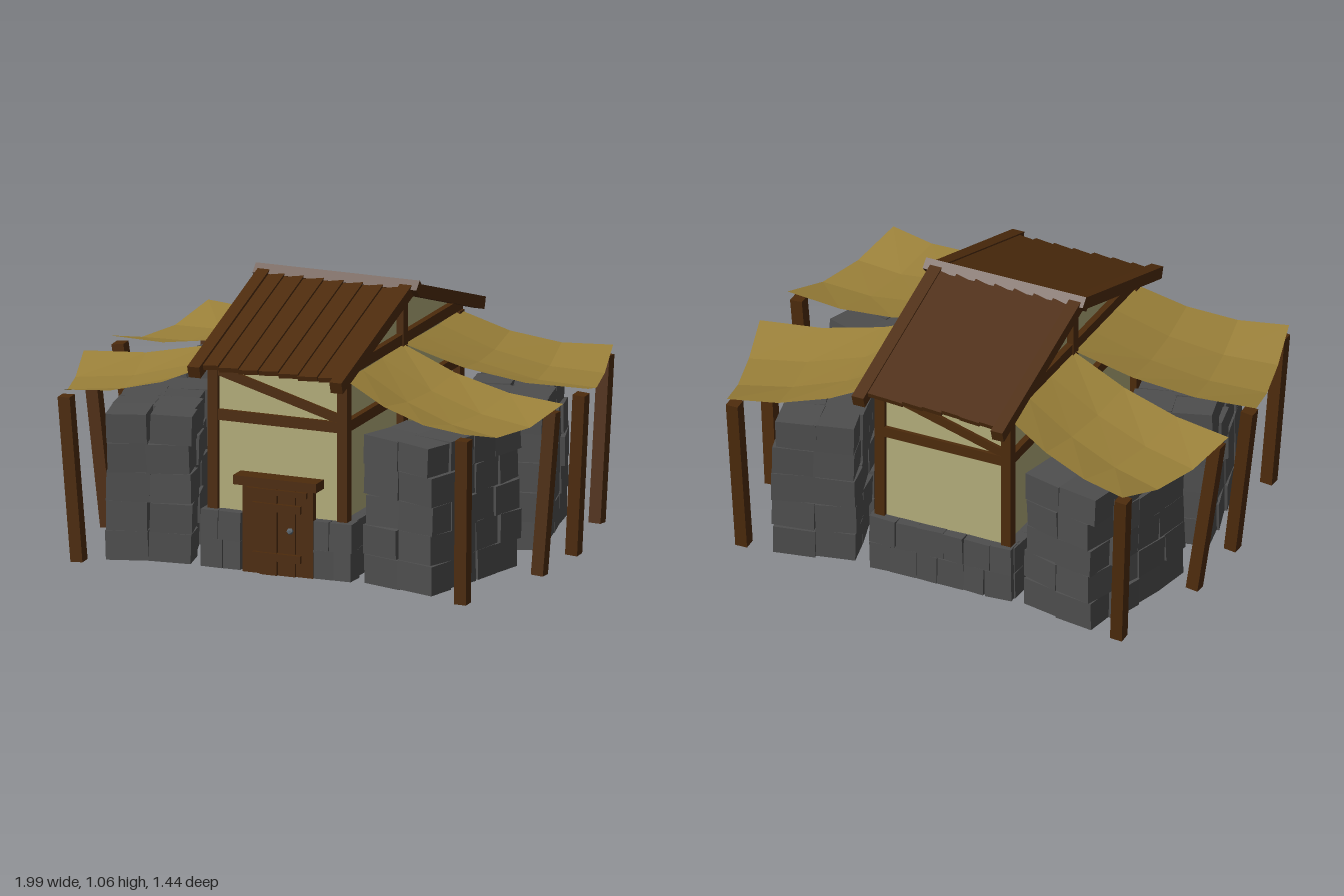
import * as THREE from 'three';
import { mergeGeometries } from 'three/addons/utils/BufferGeometryUtils.js';

const mat = (name, color, extra = {}) => {
  const m = new THREE.MeshStandardMaterial({ color, flatShading: true, ...extra });
  m.name = name;
  return m;
};

export function createModel() {
  const wood = mat('dark wood', 0x4d2b0c);
  const stone = mat('grey stone', 0x4e4e4e);
  const plaster = mat('plaster', 0xb2ac7a);
  const canvas = mat('canvas', 0x9a8039, { side: THREE.DoubleSide });
  const iron = mat('iron', 0x5c666e);

  const root = new THREE.Group();
  root.name = 'marketHouse';
  const midZ = -0.01;

  let seed = 11;
  const rand = () => {
    seed = (seed * 16807) % 2147483647;
    return seed / 2147483647;
  };
  const jit = (a) => (rand() * 2 - 1) * a;

  const add = (name, geo, material, parent = root) => {
    const m = new THREE.Mesh(geo, material);
    m.name = name;
    parent.add(m);
    return m;
  };
  const box = (name, w, h, d, x, y, z, material = wood, parent = root) => {
    const m = add(name, new THREE.BoxGeometry(w, h, d), material, parent);
    m.position.set(x, y, z);
    return m;
  };
  // Square beam running between two points
  const beam = (name, a, b, w, d) => {
    const p = new THREE.Vector3(...a), q = new THREE.Vector3(...b);
    const dir = q.clone().sub(p);
    const m = add(name, new THREE.BoxGeometry(w, dir.length(), d), wood);
    m.position.copy(p).add(q).multiplyScalar(0.5);
    m.quaternion.setFromUnitVectors(new THREE.Vector3(0, 1, 0), dir.normalize());
    return m;
  };
  // Rough stone block: a box knocked slightly askew
  const block = (w, h, d, x, y, z, turn) => {
    const g = new THREE.BoxGeometry(w, h, d);
    g.rotateX(jit(turn * 0.4));
    g.rotateZ(jit(turn * 0.4));
    g.rotateY(jit(turn));
    g.translate(x, y, z);
    return g;
  };

  // Plaster walls with gables at both sides
  const gable = new THREE.Shape();
  gable.moveTo(-0.55, 0.03);
  gable.lineTo(0.55, 0.03);
  gable.lineTo(0.55, 0.83);
  gable.lineTo(0, 1.025);
  gable.lineTo(-0.55, 0.83);
  const walls = add('walls', new THREE.ExtrudeGeometry(gable, { depth: 0.52, bevelEnabled: false }), plaster);
  walls.rotation.y = -Math.PI / 2;
  walls.position.set(0.26, 0, midZ);

  // Timber frame
  for (const sx of [-1, 1]) {
    for (const sz of [-1, 1]) {
      box('cornerPost', 0.042, 0.79, 0.042, sx * 0.268, 0.415, midZ + sz * 0.545);
    }
    box('gablePost', 0.042, 1.02, 0.042, sx * 0.268, 0.53, midZ);
    box('upperSideBeam', 0.04, 0.042, 1.12, sx * 0.265, 0.833, midZ);
    box('lowerSideBeam', 0.04, 0.042, 1.12, sx * 0.265, 0.616, midZ);
  }
  for (const s of [-1, 1]) {
    box('wallBeam', 0.53, 0.042, 0.04, 0, 0.616, midZ + s * 0.545);
    box('eaveBeam', 0.53, 0.042, 0.04, 0, 0.825, midZ + s * 0.535);
    beam('diagonalBrace', [-s * 0.25, 0.79, midZ + s * 0.548], [s * 0.25, 0.65, midZ + s * 0.548], 0.036, 0.03);
  }

  // Stone footing: two courses around a floor slab
  const footing = [];
  const course = (len, count, place) => {
    for (let row = 0; row < 2; row++) {
      let at = -len / 2;
      for (let i = 0; i < count; i++) {
        const w = len / count * (i % 2 === row ? 1.12 : 0.88);
        footing.push(place(at + w / 2, w * 0.98, 0.076 + row * 0.112));
        at += w;
      }
    }
  };
  for (const sx of [-1, 1]) {
    course(1.12, 8, (t, w, y) => block(0.09, 0.111, w, sx * 0.262, y, midZ + t, 0.07));
  }
  course(0.6, 6, (t, w, y) => block(w, 0.113, 0.08, t, y, midZ - 0.55, 0.07));
  for (const cx of [-0.225, 0.235]) {
    course(0.165, 2, (t, w, y) => block(w, 0.113, 0.08, cx + t, y, midZ + 0.553, 0.07));
  }
  add('footingStones', mergeGeometries(footing), stone);
  box('floorSlab', 0.56, 0.05, 1.12, 0, 0.045, midZ, stone);

  // Door with planks, frame, crossbars and knob
  const door = new THREE.Group();
  door.name = 'door';
  door.position.set(0.015, 0, 0.575);
  root.add(door);
  for (let i = 0; i < 4; i++) {
    box('doorPlank', 0.071, 0.345 + jit(0.005), 0.03, -0.111 + i * 0.074, 0.19, jit(0.004), wood, door);
  }
  box('doorLintel', 0.345, 0.036, 0.075, 0, 0.384, 0.005, wood, door);
  for (const y of [0.09, 0.285]) box('doorCrossbar', 0.2, 0.03, 0.02, 0, y, 0.018, wood, door);
  box('doorHeader', 0.25, 0.022, 0.03, 0, 0.345, 0.012, wood, door);
  const knob = add('doorKnob', new THREE.IcosahedronGeometry(0.014, 0), iron, door);
  knob.position.set(0.058, 0.2, 0.027);

  // Roof: two sloping sides of planks with rake beams
  const slope = Math.atan2(0.222, 0.685);
  for (const s of [-1, 1]) {
    const side = new THREE.Group();
    side.name = s > 0 ? 'frontRoof' : 'backRoof';
    side.position.set(0, 1.03, -0.015);
    side.rotation.order = 'YXZ';
    side.rotation.set(slope, s > 0 ? 0 : Math.PI, 0);
    root.add(side);
    // Each plank leans over the next one
    for (let i = 0; i < 7; i++) {
      const len = 0.69 + jit(0.006);
      const p = box('roofPlank', 0.083, 0.02, len, -0.246 + i * 0.082, 0.006, len / 2, wood, side);
      p.rotation.set(0, jit(0.004), s * 0.09);
    }
    for (const sx of [-1, 1]) {
      box('rakeBeam', 0.05, 0.048, 0.725, sx * 0.295, 0, 0.3625, wood, side);
    }
  }
  const ridge = box('ridgeBeam', 0.68, 0.045, 0.045, 0.005, 1.035, -0.015);
  ridge.rotation.x = Math.PI / 4;

  // Canvas awning: a tapering sheet that sags between its four corners
  const awning = (sx, sz) => {
    const at = (x, y, z) => new THREE.Vector3(sx * x, y, midZ + sz * z);
    const inA = at(0.27, 0.815, 0.0), inB = at(0.27, 0.81, 0.555);
    const outA = at(0.995, 0.68, 0.12), outB = at(0.84, 0.69, 0.72);
    const g = new THREE.PlaneGeometry(1, 1, 3, 3);
    const p = g.attributes.position;
    for (let i = 0; i < p.count; i++) {
      const u = p.getX(i) + 0.5, v = p.getY(i) + 0.5;
      const c = inA.clone().lerp(inB, v).lerp(outA.clone().lerp(outB, v), u);
      c.y -= 4 * u * (1 - u) * 0.042 + 4 * v * (1 - v) * (0.015 + 0.045 * u);
      p.setXYZ(i, c.x, c.y, c.z);
    }
    // Keep the sheet facing up on mirrored corners
    if (sx * sz > 0) {
      const ix = g.index;
      for (let i = 0; i < ix.count; i += 3) {
        const t = ix.getX(i);
        ix.setX(i, ix.getX(i + 1));
        ix.setX(i + 1, t);
      }
    }
    g.computeVertexNormals();
    add('awning', g, canvas);
  };

  // Stone stack under each awning: five courses of blocks, turned outward
  const stack = (sx, sz) => {
    const parts = [];
    for (let row = 0; row < 5; row++) {
      for (let i = 0; i < 2; i++) {
        let at = -0.275;
        for (let k = 0; k < 4; k++) {
          const d = 0.1375 * ((k + row + i) % 2 ? 1.1 : 0.9);
          const w = 0.163 + jit(0.008);
          parts.push(block(w, 0.115, d, (i - 0.5) * 0.16 + jit(0.01), 0.077 + row * 0.116,
            at + d / 2 + jit(0.004), 0.09));
          at += d;
        }
      }
    }
    const m = add('stoneStack', mergeGeometries(parts), stone);
    m.position.set(sx > 0 ? 0.588 : -0.58, 0, midZ + sz * 0.345);
    m.rotation.y = -sx * sz * 0.245;
  };

  for (const sx of [-1, 1]) {
    for (const sz of [-1, 1]) {
      awning(sx, sz);
      stack(sx, sz);
      const footX = sx > 0 ? 0.915 : 0.872;
      beam('innerAwningPole', [sx * footX, 0.01, midZ + sz * 0.165], [sx * 0.957, 0.651, midZ + sz * 0.14], 0.05, 0.05);
      beam('outerAwningPole', [sx * (sx > 0 ? 0.814 : 0.777), 0.01, midZ + sz * (sz > 0 ? 0.672 : 0.625)],
        [sx * 0.825, 0.659, midZ + sz * 0.685], 0.05, 0.05);
    }
  }
  return root;
}
